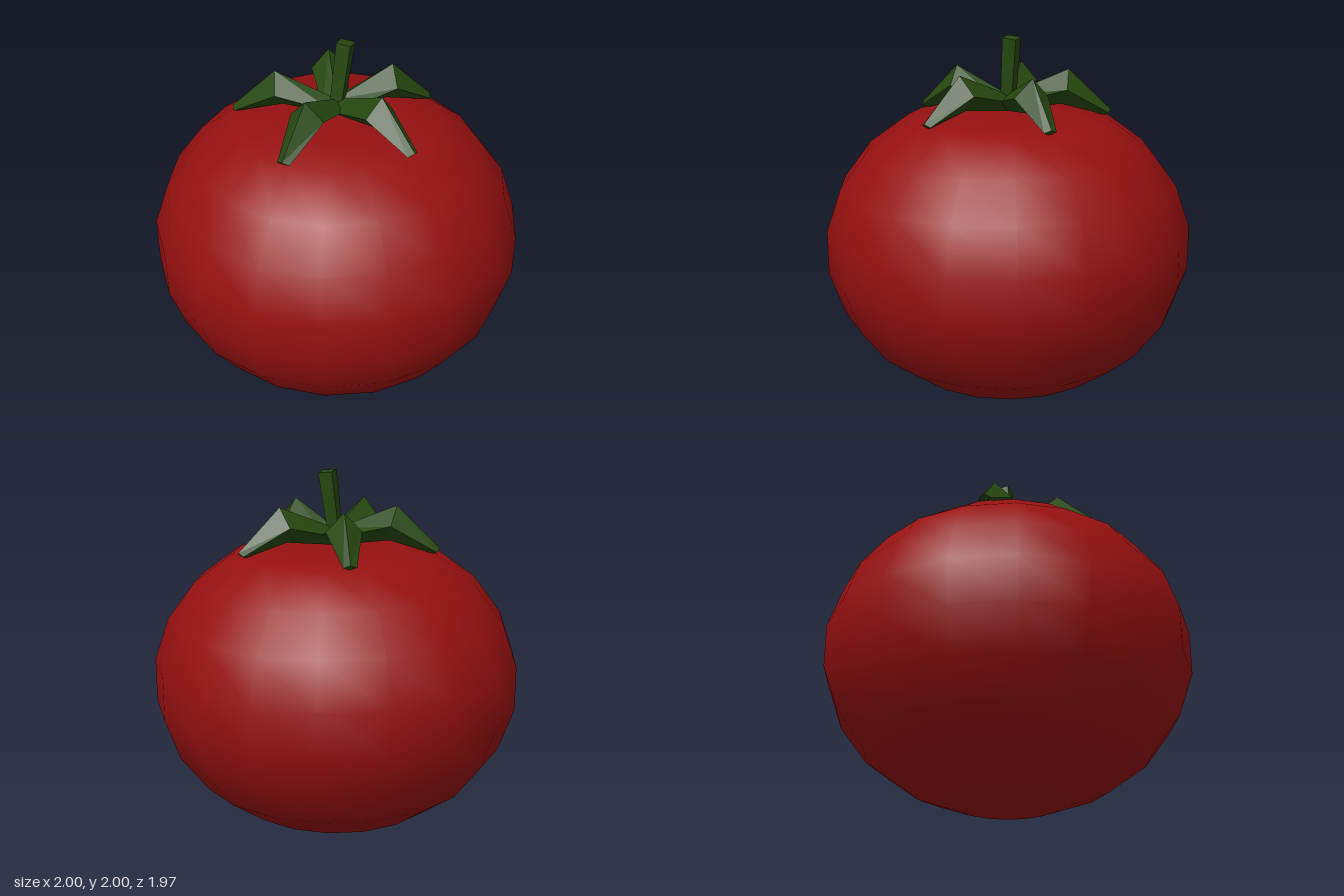
import * as THREE from 'three';

// Faceted, capped solid through a list of four-cornered cross-sections
function loft(rings) {
  const pos = [];
  const tri = (a, b, c) => pos.push(...a, ...b, ...c);
  for (let i = 0; i < rings.length - 1; i++) {
    for (let k = 0; k < 4; k++) {
      const n = (k + 1) % 4;
      const a = rings[i][k], b = rings[i][n], c = rings[i + 1][n], d = rings[i + 1][k];
      tri(a, b, c);
      tri(a, c, d);
    }
  }
  const s = rings[0], e = rings[rings.length - 1];
  tri(s[0], s[2], s[1]);
  tri(s[0], s[3], s[2]);
  tri(e[0], e[1], e[2]);
  tri(e[0], e[2], e[3]);
  const g = new THREE.BufferGeometry();
  g.setAttribute('position', new THREE.Float32BufferAttribute(pos, 3));
  g.computeVertexNormals();
  return g;
}

// Diamond section of a leaf: top ridge, side corners, lower keel
const diamond = (top, side, halfWidth, keel) => [
  [top[0], top[1], 0],
  [side[0], side[1], halfWidth],
  [keel[0], keel[1], 0],
  [side[0], side[1], -halfWidth],
];

export function createModel() {
  const group = new THREE.Group();
  const red = new THREE.MeshStandardMaterial({ color: 0x961010 });
  red.name = 'tomatoRed';
  const green = new THREE.MeshStandardMaterial({ color: 0x26480f });
  green.name = 'leafGreen';

  const add = (name, geometry, material) => {
    const mesh = new THREE.Mesh(geometry, material);
    mesh.name = name;
    group.add(mesh);
    return mesh;
  };

  // Smooth fruit with a flattened top
  const profile = [
    [0, 0], [0.29, 0.04], [0.55, 0.14], [0.77, 0.3], [0.92, 0.5], [1, 0.73],
    [1, 0.97], [0.92, 1.2], [0.77, 1.4], [0.55, 1.56], [0.29, 1.582], [0, 1.58],
  ].map(([r, y]) => new THREE.Vector2(r, y));
  add('fruit', new THREE.LatheGeometry(profile, 18, Math.PI / 2), red);

  // Five bent leaves around the stem
  const leaf = loft([
    diamond([0, 1.68], [0, 1.64], 0.075, [0, 1.59]),
    diamond([0.33, 1.815], [0.31, 1.715], 0.095, [0.29, 1.625]),
    diamond([0.565, 1.59], [0.55, 1.575], 0.035, [0.53, 1.56]),
  ]);
  for (let i = 0; i < 5; i++) {
    add('leaf' + (i + 1), leaf, green).rotation.y = (i * Math.PI * 2) / 5;
  }

  // Leaning square stem
  const stemRing = (x, y, r, tilt) => [
    [x, y, r], [x + r, y - tilt, 0], [x, y, -r], [x - r, y + tilt, 0],
  ];
  add('stem', loft([stemRing(0, 1.62, 0.045, 0), stemRing(0.052, 1.992, 0.054, 0.008)]), green);

  return group;
}
